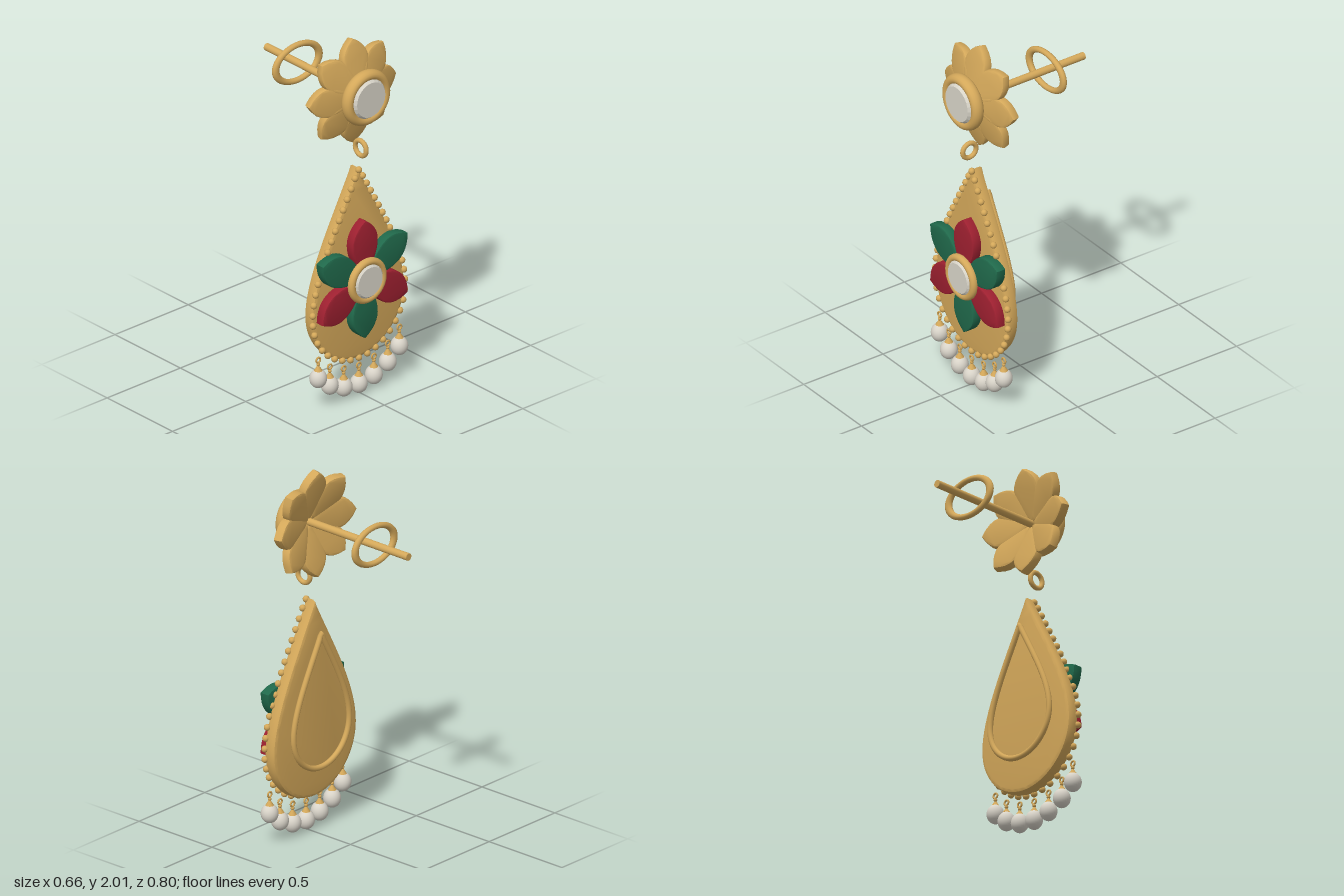
import * as THREE from 'three';
import { toCreasedNormals } from 'three/addons/utils/BufferGeometryUtils.js';

const material = (name, color) => {
  const m = new THREE.MeshStandardMaterial({ color });
  m.name = name;
  return m;
};

// Half-petal curve mirrored into a pointed leaf growing along +y
function petalShape(w, len) {
  const s = new THREE.Shape();
  s.moveTo(0, 0);
  s.bezierCurveTo(w * 1.05, len * 0.39, w * 1.65, len * 0.75, 0, len);
  s.bezierCurveTo(-w * 1.65, len * 0.75, -w * 1.05, len * 0.39, 0, 0);
  return s;
}

// Teardrop outline, tip at the top
function teardrop() {
  const s = new THREE.Shape();
  s.moveTo(0, 1.285);
  s.bezierCurveTo(-0.12, 1.04, -0.315, 0.74, -0.315, 0.52);
  s.bezierCurveTo(-0.315, 0.34, -0.17, 0.2, 0, 0.2);
  s.bezierCurveTo(0.17, 0.2, 0.315, 0.34, 0.315, 0.52);
  s.bezierCurveTo(0.315, 0.74, 0.12, 1.04, 0, 1.285);
  return s;
}

// Bevelled slab occupying z = 0..depth, with its outline kept at full size
function slab(shape, depth, bevel, curveSegments) {
  const g = new THREE.ExtrudeGeometry(shape, {
    depth: depth - 2 * bevel, bevelThickness: bevel, bevelSize: bevel,
    bevelOffset: -bevel, bevelSegments: 2, curveSegments,
  });
  g.translate(0, 0, bevel);
  return toCreasedNormals(g, 0.5);
}

export function createModel() {
  const gold = material('gold', 0xd4a85a);
  const red = material('red enamel', 0x9e2030);
  const green = material('green enamel', 0x20694b);
  const pearl = material('pearl', 0xd8d3c8);
  const crystal = material('crystal', 0xd8d4c8);
  const root = new THREE.Group();
  root.name = 'earring';

  const add = (parent, name, geometry, mat, x = 0, y = 0, z = 0) => {
    const m = new THREE.Mesh(geometry, mat);
    m.name = name;
    m.position.set(x, y, z);
    parent.add(m);
    return m;
  };
  const group = (name, parent, x = 0, y = 0, z = 0) => {
    const g = new THREE.Group();
    g.name = name;
    g.position.set(x, y, z);
    parent.add(g);
    return g;
  };

  // Round cut stone in a rounded bezel; z = 0 is the back of the bezel
  function setStone(parent, name, y, z, outer, tube, depth) {
    const g = group(name, parent, 0, y, z);
    const ring = new THREE.TorusGeometry(outer - tube, tube, 16, 48);
    ring.scale(1, 1, depth / (2 * tube));
    add(g, 'bezel', ring, gold, 0, 0, depth / 2);
    const r = outer - tube * 1.2;
    const base = new THREE.CylinderGeometry(r, r, depth * 0.6, 32);
    base.rotateX(Math.PI / 2);
    add(g, 'stoneSetting', base, gold, 0, 0, depth * 0.35);
    // Crown facets sloping up to a flat table
    const crown = new THREE.CylinderGeometry(r * 0.81, r, depth * 0.45, 24).toNonIndexed();
    crown.computeVertexNormals();
    crown.rotateX(Math.PI / 2);
    add(g, 'stone', crown, crystal, 0, 0, depth * 0.87);
  }

  // Stud: eight gold petals swept back, with a stone in the middle
  const stud = group('stud', root, 0, 1.71, 0);
  const studPetal = slab(petalShape(0.082, 0.297), 0.052, 0.012, 10);
  for (let i = 0; i < 8; i++) {
    const arm = group('studPetalArm', stud, 0, 0, 0.285);
    arm.rotation.z = i * Math.PI / 4;
    add(arm, 'studPetal', studPetal, gold).rotation.x = -0.25;
  }
  setStone(stud, 'studStone', 0, 0.325, 0.153, 0.028, 0.069);

  // Post and oval backing ring
  const post = new THREE.CylinderGeometry(0.02, 0.02, 0.73, 20);
  post.rotateX(Math.PI / 2);
  add(stud, 'post', post, gold, 0, 0, -0.035);
  const backing = new THREE.TorusGeometry(0.148, 0.022, 12, 40);
  backing.scale(1, 0.68, 0.75);
  add(stud, 'backingRing', backing, gold, 0, 0, -0.165);

  // Link under the stud
  add(root, 'jumpRing', new THREE.TorusGeometry(0.042, 0.013, 12, 32), gold, 0, 1.405, 0.32)
    .rotation.y = Math.PI / 2;

  // Teardrop plate
  const pendant = group('pendant', root);
  const outline = teardrop();
  add(pendant, 'plate', slab(outline, 0.07, 0.018, 20), gold, 0, 0, 0.238);
  // Beaded edge
  const bead = new THREE.SphereGeometry(0.018, 12, 8);
  const count = 46;
  outline.getSpacedPoints(count).slice(0, count).forEach((p) => {
    add(pendant, 'edgeBead', bead, gold, p.x, Math.min(p.y, 1.275), 0.305);
  });
  // Raised wire on the back
  const wire = outline.getSpacedPoints(64).slice(0, 64)
    .map((p) => new THREE.Vector3(p.x * 0.67, 0.375 + (p.y - 0.2) * 0.68, 0.2));
  const wireCurve = new THREE.CatmullRomCurve3(wire, true);
  add(pendant, 'backWire', new THREE.TubeGeometry(wireCurve, 128, 0.015, 10, true), gold);

  // Enamel flower with alternating petals
  const flower = group('flower', pendant, 0, 0.665, 0.302);
  const enamelPetal = slab(petalShape(0.084, 0.336), 0.057, 0.008, 14);
  for (let i = 0; i < 6; i++) {
    add(flower, i % 2 ? 'greenPetal' : 'redPetal', enamelPetal, i % 2 ? green : red)
      .rotation.z = i * Math.PI / 3;
  }
  setStone(flower, 'flowerStone', 0, 0.045, 0.126, 0.02, 0.044);

  // Pearl drops along the lower edge
  const pearlGeo = new THREE.SphereGeometry(0.046, 24, 16);
  pearlGeo.scale(1, 1.12, 1);
  const cap = new THREE.CylinderGeometry(0.006, 0.022, 0.026, 16);
  const loop = new THREE.TorusGeometry(0.014, 0.005, 8, 20);
  const stem = new THREE.SphereGeometry(0.01, 10, 8);
  const drop = (x, y) => {
    const g = group('pearlDrop', pendant, x, y, 0.305);
    add(g, 'pearl', pearlGeo, pearl);
    add(g, 'pearlCap', cap, gold, 0, 0.058);
    add(g, 'pearlStem', stem, gold, 0, 0.08);
    add(g, 'pearlLoop', loop, gold, 0, 0.104);
  };
  drop(0, 0.053);
  for (const s of [-1, 1]) {
    drop(s * 0.103, 0.068);
    drop(s * 0.198, 0.11);
    drop(s * 0.277, 0.175);
  }
  return root;
}
